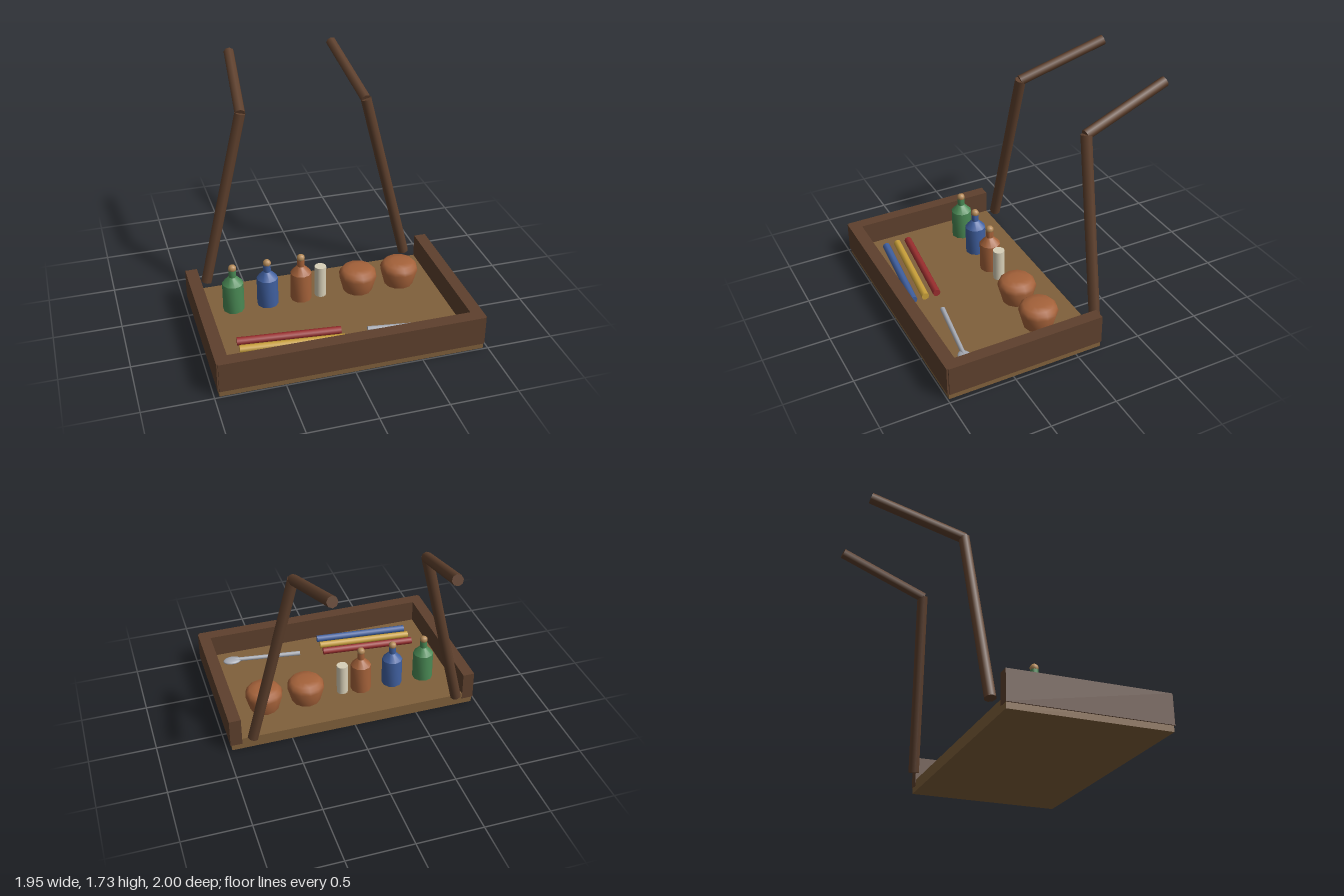
import * as THREE from 'three';
import { toCreasedNormals } from 'three/addons/utils/BufferGeometryUtils.js';

const FLOOR = 0.09;

function mat(name, color) {
  const m = new THREE.MeshStandardMaterial({ color });
  m.name = name;
  return m;
}

export function createModel() {
  const model = new THREE.Group();
  model.name = 'vendorTray';

  const darkWood = mat('dark wood', 0x5e402d);
  const lightWood = mat('light wood', 0x80603b);
  const green = mat('green glass', 0x4a8a55);
  const blue = mat('blue', 0x4060a0);
  const clay = mat('clay', 0xa5623a);
  const cream = mat('cream', 0xd8d0b8);
  const red = mat('red', 0x9a2e2e);
  const yellow = mat('yellow', 0xc9a03a);
  const silver = mat('silver', 0xa8acb5);
  const cork = mat('cork', 0xb48a58);

  function add(name, geometry, material, x = 0, y = 0, z = 0, parent = model) {
    const mesh = new THREE.Mesh(geometry, material);
    mesh.name = name;
    mesh.position.set(x, y, z);
    parent.add(mesh);
    return mesh;
  }

  // Straight round bar between two points
  function rod(name, a, b, r, sides, material, rTop = r) {
    const from = new THREE.Vector3(...a), to = new THREE.Vector3(...b);
    const dir = to.clone().sub(from);
    const mesh = add(name, new THREE.CylinderGeometry(rTop, r, dir.length(), sides), material);
    mesh.position.copy(from).add(to).multiplyScalar(0.5);
    mesh.quaternion.setFromUnitVectors(new THREE.Vector3(0, 1, 0), dir.normalize());
    return mesh;
  }

  function lathe(points, sides, crease) {
    const profile = points.map(([r, y]) => new THREE.Vector2(r, y));
    return toCreasedNormals(new THREE.LatheGeometry(profile, sides), crease);
  }

  // Tray, open at the back
  add('trayBase', new THREE.BoxGeometry(1.93, FLOOR, 1.19), lightWood, 0, FLOOR / 2, 0.395);
  add('frontWall', new THREE.BoxGeometry(1.93, 0.225, 0.095), darkWood, 0, 0.1575, 0.9525);
  for (const s of [1, -1]) {
    const side = s > 0 ? 'left' : 'right';
    add(side + 'Wall', new THREE.BoxGeometry(0.09, 0.225, 1.19), darkWood, s * 0.93, 0.1575, 0.393);

    // Carrying straps, bent at the shoulder
    rod(side + 'LowerStrap', [s * 0.81, 0.12, -0.242], [s * 0.482, 1.47, -0.31], 0.042, 8, darkWood);
    rod(side + 'UpperStrap', [s * 0.482, 1.465, -0.305], [s * 0.412, 1.69, -0.985], 0.04, 8, darkWood);
  }

  // Stoppered bottles
  const bottleShape = lathe([
    [0, FLOOR], [0.08, FLOOR], [0.08, 0.315], [0.028, 0.372], [0.028, 0.43], [0, 0.43],
  ], 10, 0.7);
  [[-0.675, green], [-0.413, blue], [-0.153, clay]].forEach(([x, material], i) => {
    const bottle = new THREE.Group();
    bottle.name = 'bottle' + (i + 1);
    bottle.position.set(x, 0, 0.127);
    model.add(bottle);
    add('glass', bottleShape, material, 0, 0, 0, bottle);
    add('stopper', new THREE.SphereGeometry(0.031, 10, 8), cork, 0, 0.44, 0, bottle);
  });

  // Small jar
  add('jar', new THREE.CylinderGeometry(0.044, 0.044, 0.25, 16), cream, 0, FLOOR + 0.125, 0.127);

  // Covered clay pots
  const potShape = lathe([
    [0, FLOOR], [0.112, FLOOR], [0.146, 0.215], [0.137, 0.245], [0.112, 0.27], [0.06, 0.279], [0, 0.281],
  ], 12, 0.75);
  [0.298, 0.632].forEach((x, i) => add('pot' + (i + 1), potShape, clay, x, 0, 0.127));

  // Coloured sticks
  [[red, 0.575], [yellow, 0.668], [blue, 0.762]].forEach(([material, z], i) =>
    rod('stick' + (i + 1), [-0.75, 0.118, z], [0, 0.118, z + 0.075], 0.029, 8, material));

  // Spoon
  rod('spoonHandle', [0.19, 0.115, 0.688], [0.745, 0.115, 0.765], 0.019, 8, silver, 0.016);
  add('spoonBowl', new THREE.SphereGeometry(1, 14, 8), silver, 0.745, 0.11, 0.763)
    .scale.set(0.075, 0.02, 0.05);

  return model;
}
